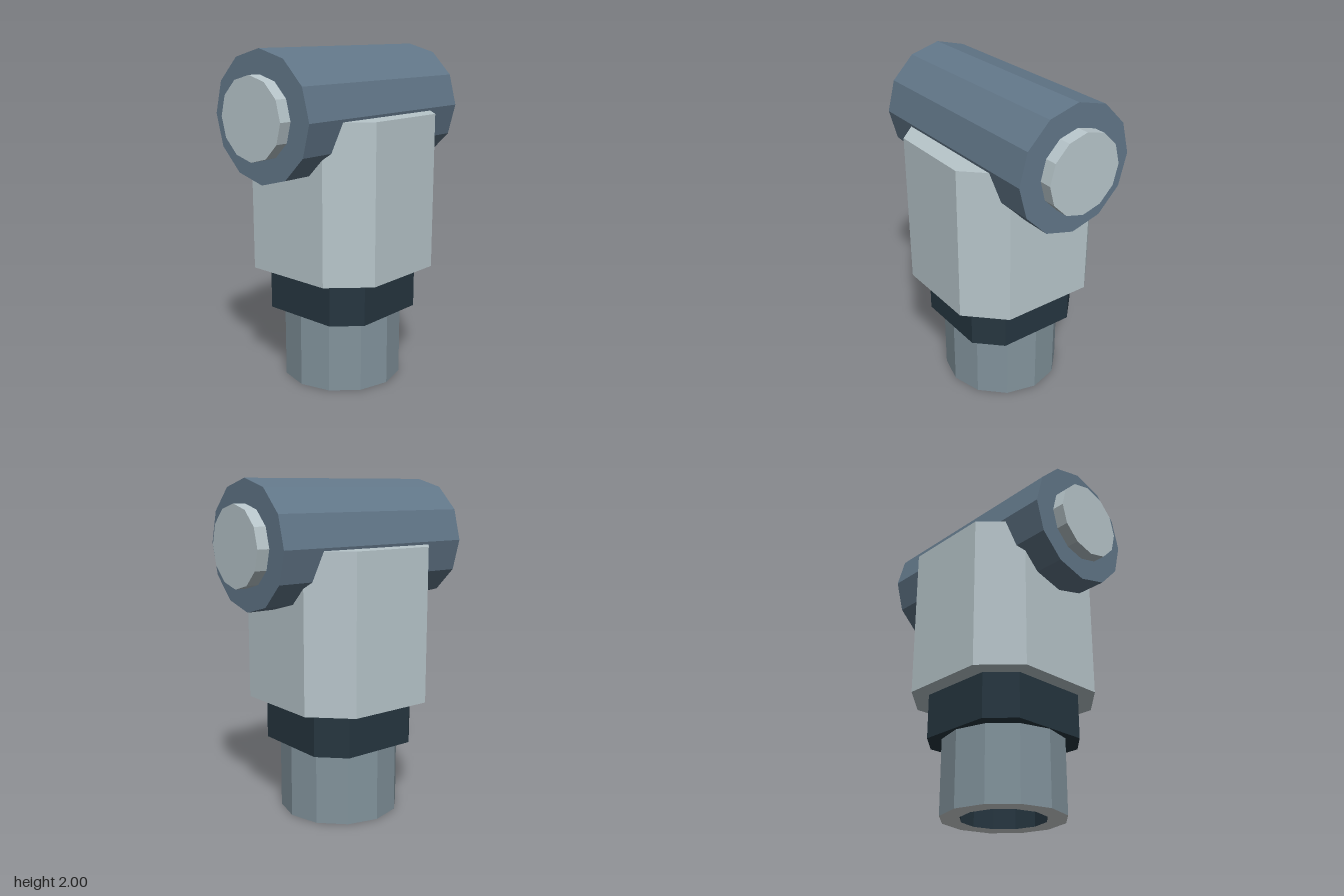
import * as THREE from 'three';

export function createModel() {
  const group = new THREE.Group();
  const mat = (name, color, side = THREE.FrontSide) => {
    const m = new THREE.MeshStandardMaterial({ color, flatShading: true, side });
    m.name = name;
    return m;
  };
  const paleGrey = mat('pale grey', 0xb8c6cb);
  const blueGrey = mat('blue grey', 0x627789);
  const darkNavy = mat('dark navy', 0x263640, THREE.DoubleSide);
  const slate = mat('slate', 0x82939c);
  const rimGrey = mat('rim grey', 0xd4d9da);

  const add = (name, geometry, material) => {
    const mesh = new THREE.Mesh(geometry, material);
    mesh.name = name;
    group.add(mesh);
    return mesh;
  };

  // Upright block with chamfered corners: half sizes x, z and half flats fx, fz
  const chamferedBlock = (x, z, fx, fz, y0, y1) => {
    const shape = new THREE.Shape([
      [fx, -z], [x, -fz], [x, fz], [fx, z], [-fx, z], [-x, fz], [-x, -fz], [-fx, -z],
    ].map(([a, b]) => new THREE.Vector2(a, b)));
    return new THREE.ExtrudeGeometry(shape, { depth: y1 - y0, bevelEnabled: false })
      .rotateX(-Math.PI / 2).translate(0, y0, 0);
  };

  // Twelve-sided bar lying along x
  const bar = (radius, length) =>
    new THREE.CylinderGeometry(radius, radius, length, 12).rotateZ(Math.PI / 2);

  // Crossbar with a protruding disc at each end
  const barY = 1.636;
  add('crossbar', bar(0.364, 1.29), blueGrey).position.y = barY;
  for (const side of [1, -1]) {
    const cap = add(side > 0 ? 'leftEndCap' : 'rightEndCap', bar(0.23, 0.08), paleGrey);
    cap.position.set(side * 0.678, barY, 0);
  }

  // Body and collar
  add('body', chamferedBlock(0.467, 0.484, 0.264, 0.28, 0.705, 1.62), paleGrey);
  add('collar', chamferedBlock(0.372, 0.383, 0.23, 0.24, 0.44, 0.705), darkNavy);

  // Hollow foot: outer wall, bottom rim and recess
  add('footWall', new THREE.CylinderGeometry(0.364, 0.364, 0.44, 12, 1, true), slate)
    .position.y = 0.22;
  add('footRim', new THREE.RingGeometry(0.25, 0.364, 12).rotateX(Math.PI / 2), rimGrey);
  const recess = [[0.25, 0], [0.25, 0.22], [0, 0.22]].map(([r, y]) => new THREE.Vector2(r, y));
  add('footRecess', new THREE.LatheGeometry(recess, 12), darkNavy);

  return group;
}
